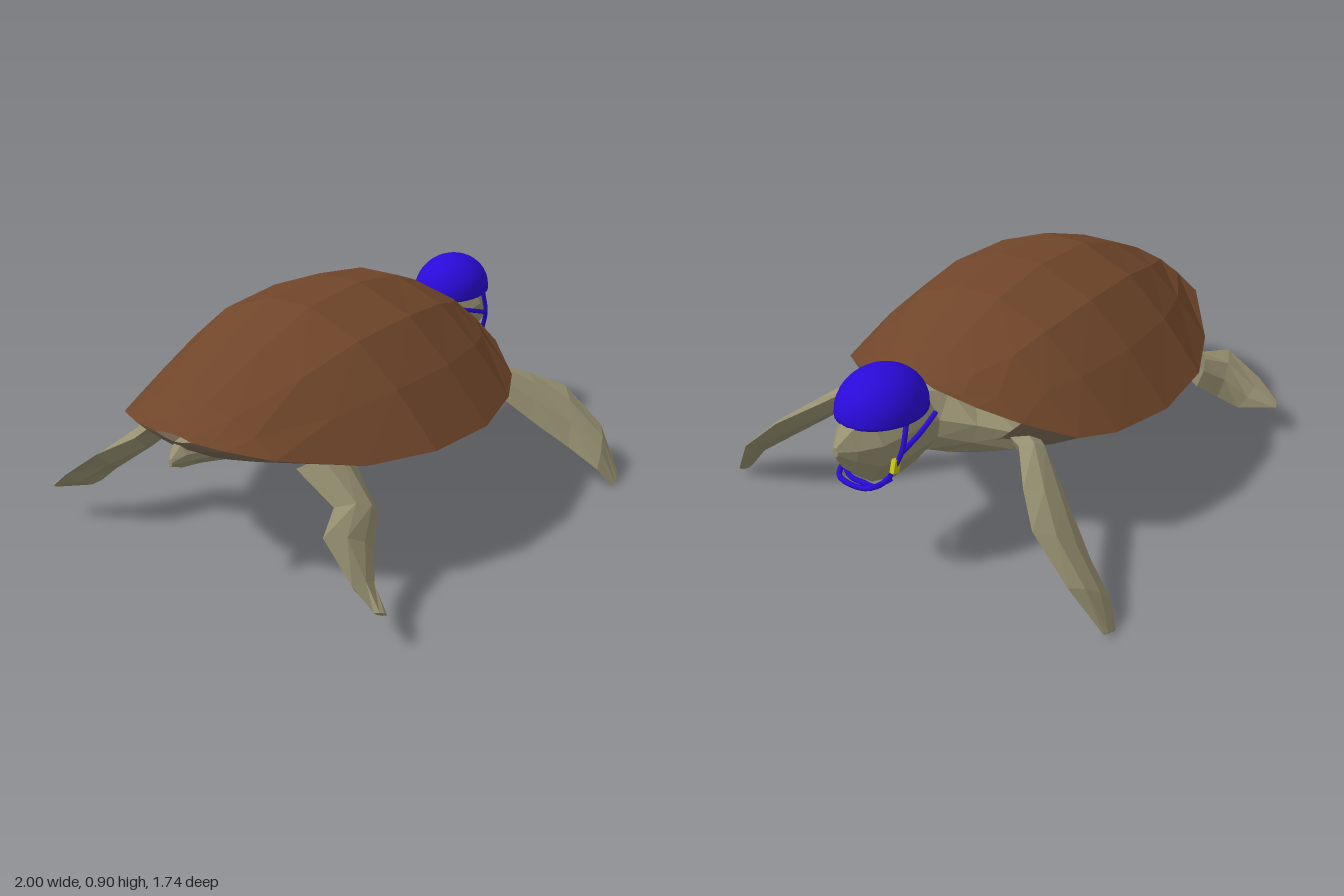
import * as THREE from 'three';

const flat = (color) => new THREE.MeshStandardMaterial({ color, flatShading: true, side: THREE.DoubleSide });
const SHELL = flat(0x70462a), BELLY = flat(0x7d6b57), SKIN = flat(0x989272);
const BLUE = new THREE.MeshStandardMaterial({ color: 0x2a0ad8, side: THREE.DoubleSide });
const YELLOW = new THREE.MeshStandardMaterial({ color: 0xc8c814 });
const V = (x, y, z) => new THREE.Vector3(x, y, z);

// Skin a list of cross-sections; closed rings get end caps
function loft(rings, closed = true) {
  const n = rings[0].length, tris = [];
  for (let i = 0; i < rings.length - 1; i++) {
    for (let j = 0; j < (closed ? n : n - 1); j++) {
      const k = (j + 1) % n, a = rings[i], b = rings[i + 1];
      tris.push([a[j], b[j], b[k]], [a[j], b[k], a[k]]);
    }
  }
  if (closed) {
    const first = rings[0], last = rings[rings.length - 1];
    for (let j = 1; j < n - 1; j++) {
      tris.push([first[0], first[j], first[j + 1]], [last[0], last[j + 1], last[j]]);
    }
  }
  // Turn the faces outward
  const mid = new THREE.Vector3();
  rings.flat().forEach((p) => mid.add(p));
  mid.divideScalar(rings.length * n);
  let volume = 0;
  for (const [a, b, c] of tris) {
    volume += a.clone().sub(mid).dot(b.clone().sub(mid).cross(c.clone().sub(mid)));
  }
  if (volume < 0) tris.forEach((t) => t.reverse());
  const geo = new THREE.BufferGeometry().setFromPoints(tris.flat());
  geo.computeVertexNormals();
  return geo;
}

function add(group, name, geo, mat) {
  const mesh = new THREE.Mesh(geo, mat);
  mesh.name = name;
  group.add(mesh);
  return mesh;
}

// Body stations: x, half width, rim height, top height, belly height
const BODY = [
  [-0.98, 0.08, 0.59, 0.60, 0.575],
  [-0.95, 0.20, 0.58, 0.625, 0.54],
  [-0.87, 0.34, 0.555, 0.68, 0.49],
  [-0.62, 0.52, 0.49, 0.795, 0.41],
  [-0.36, 0.63, 0.475, 0.885, 0.345],
  [-0.06, 0.655, 0.465, 0.90, 0.29],
  [0.20, 0.60, 0.475, 0.86, 0.30],
  [0.35, 0.53, 0.50, 0.80, 0.31],
  [0.48, 0.38, 0.57, 0.735, 0.33],
  [0.55, 0.24, 0.62, 0.69, 0.40],
  [0.58, 0.08, 0.655, 0.672, 0.45],
];
// Half cross-sections as [share of half width, share of height]
const DOME = [[1, 0], [0.74, 0.45], [0.48, 0.8], [0.14, 1]];
const KEEL = [[1, 0], [0.78, 0.36], [0.42, 0.77], [0.15, 1]];
const section = (half, x, w, from, to) => {
  const side = half.map(([u, v]) => V(x, from + (to - from) * v, u * w));
  return [...side, ...side.map((p) => V(p.x, p.y, -p.z)).reverse()];
};

// Flipper sections are pairs of edge points plus a thickness
function flipper(sections) {
  const axis = V(...sections[sections.length - 1][0]).sub(V(...sections[0][0]));
  return loft(sections.map(([a, b, t]) => {
    const p = V(...a), q = V(...b);
    const n = q.clone().sub(p).cross(axis).normalize().multiplyScalar(t / 2);
    const m1 = p.clone().lerp(q, 0.35), m2 = p.clone().lerp(q, 0.7);
    return [p, m1.clone().add(n), m2.clone().add(n), q, m2.clone().sub(n), m1.clone().sub(n)];
  }));
}
const FRONT = [
  [[0.26, 0.46, 0.22], [0.42, 0.52, 0.20], 0.09],
  [[0.37, 0.41, 0.42], [0.48, 0.475, 0.37], 0.075],
  [[0.45, 0.28, 0.57], [0.61, 0.41, 0.48], 0.07],
  [[0.53, 0.165, 0.71], [0.715, 0.345, 0.59], 0.06],
  [[0.575, 0.08, 0.82], [0.74, 0.20, 0.75], 0.04],
  [[0.62, 0.0, 0.87], [0.69, 0.025, 0.865], 0.012],
];
const REAR = [
  [[-0.74, 0.47, 0.32], [-0.50, 0.44, 0.38], 0.09],
  [[-0.72, 0.36, 0.46], [-0.56, 0.29, 0.53], 0.08],
  [[-0.86, 0.33, 0.52], [-0.66, 0.21, 0.58], 0.06],
  [[-0.895, 0.22, 0.66], [-0.74, 0.14, 0.64], 0.05],
  [[-0.89, 0.15, 0.74], [-0.85, 0.13, 0.765], 0.015],
];

// Head and neck stations: x, low, high, half width
const HEAD = [
  [0.28, 0.34, 0.60, 0.34], [0.44, 0.345, 0.60, 0.35], [0.52, 0.37, 0.63, 0.22],
  [0.59, 0.40, 0.64, 0.11], [0.66, 0.39, 0.70, 0.125], [0.78, 0.39, 0.73, 0.135],
  [0.88, 0.42, 0.69, 0.105], [0.95, 0.49, 0.64, 0.055], [1.0, 0.565, 0.60, 0.012],
];
const TAIL = [[-0.72, 0.43, 0.55, 0.14], [-0.88, 0.465, 0.565, 0.07], [-0.96, 0.475, 0.56, 0.035], [-1.0, 0.49, 0.515, 0.008]];
const OVAL = [[0.4, 0], [0.9, 0.3], [1, 0.6], [0.45, 1]];
const tubeBody = (rows) => loft(rows.map(([x, lo, hi, w]) => section(OVAL, x, w, lo, hi)));

export function createModel() {
  const turtle = new THREE.Group();
  turtle.name = 'turtle';

  // Shell dome and underside
  add(turtle, 'shell', loft(BODY.map(([x, w, rim, top]) => section(DOME, x, w, rim, top)), false), SHELL);
  add(turtle, 'belly', loft(BODY.slice(0, 9).map(([x, w, rim, , low]) => section(KEEL, x, w, rim, low)), false), BELLY);

  // Soft parts
  add(turtle, 'headAndNeck', tubeBody(HEAD), SKIN);
  add(turtle, 'tail', tubeBody(TAIL), SKIN);
  for (const s of [1, -1]) {
    const mirror = (rows) => rows.map(([a, b, t]) => [[a[0], a[1], a[2] * s], [b[0], b[1], b[2] * s], t]);
    const side = s > 0 ? 'Right' : 'Left';
    add(turtle, 'frontFlipper' + side, flipper(mirror(FRONT)), SKIN);
    add(turtle, 'rearFlipper' + side, flipper(mirror(REAR)), SKIN);
  }

  // Helmet: a thick half dome with a rounded rim
  const helmet = new THREE.Group();
  helmet.name = 'helmet';
  turtle.add(helmet);
  const outline = [];
  for (let i = 0; i <= 10; i++) {
    const a = (i / 10) * Math.PI / 2;
    outline.push(new THREE.Vector2(Math.sin(a), Math.cos(a)));
  }
  outline.push(new THREE.Vector2(1, -0.08), new THREE.Vector2(0.93, -0.1));
  for (let i = 0; i <= 8; i++) {
    const a = (1 - i / 8) * Math.PI / 2;
    outline.push(new THREE.Vector2(0.92 * Math.sin(a), 0.92 * Math.cos(a)));
  }
  const cap = add(helmet, 'helmetDome', new THREE.LatheGeometry(outline, 36), BLUE);
  cap.scale.set(0.178, 0.145, 0.15);
  cap.position.set(0.76, 0.65, 0);
  cap.rotation.z = 0.05;

  // Straps on both cheeks, joined by a forked chin strap
  const strap = (name, ...pts) => add(helmet, name,
    new THREE.TubeGeometry(new THREE.CatmullRomCurve3(pts.map((p) => V(...p))), 16, 0.01, 6), BLUE);
  for (const s of [1, -1]) {
    strap('frontStrap', [0.79, 0.66, 0.135 * s], [0.825, 0.55, 0.137 * s], [0.86, 0.45, 0.105 * s]);
    strap('backStrap', [0.635, 0.605, 0.13 * s], [0.73, 0.575, 0.14 * s], [0.83, 0.54, 0.135 * s]);
  }
  strap('chinStrapFront', [0.85, 0.44, 0.105], [0.92, 0.425, 0.07], [0.935, 0.42, 0], [0.92, 0.425, -0.07], [0.85, 0.44, -0.105]);
  strap('chinStrapBack', [0.86, 0.45, 0.105], [0.88, 0.405, 0.06], [0.88, 0.40, 0], [0.88, 0.405, -0.06], [0.86, 0.45, -0.105]);
  const buckle = add(helmet, 'buckle', new THREE.BoxGeometry(0.03, 0.05, 0.018), YELLOW);
  buckle.position.set(0.846, 0.495, -0.122);
  buckle.rotation.z = 0.3;

  return turtle;
}
